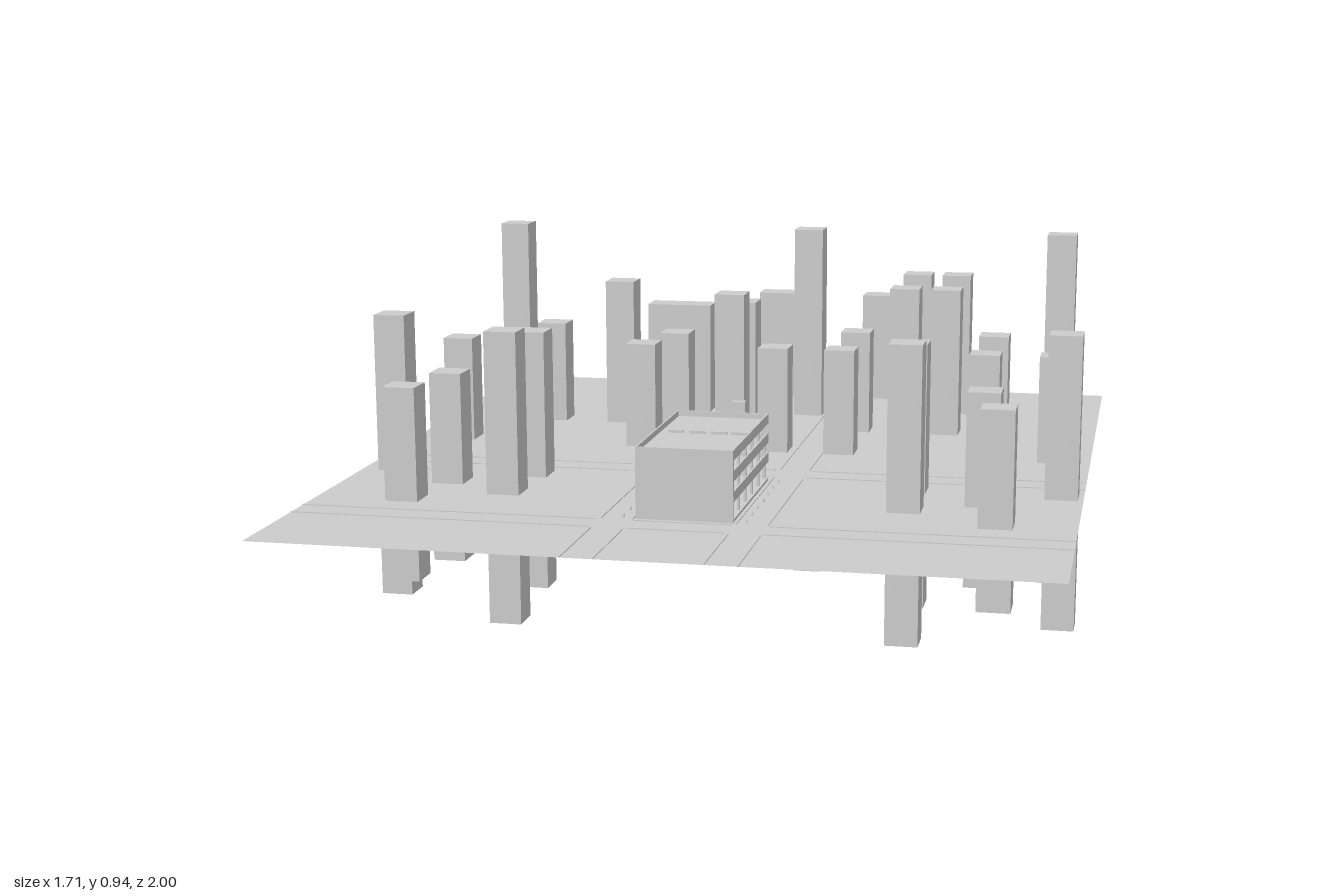
import * as THREE from 'three';

const GROUND = 0.435;

export function createModel() {
  const model = new THREE.Group();
  const grey = new THREE.MeshStandardMaterial({ color: 0xcccccc, flatShading: true });
  const sheet = new THREE.MeshStandardMaterial({ color: 0xcccccc, side: THREE.DoubleSide });

  // Box given by its limits on each axis
  function block(name, x0, x1, y0, y1, z0, z1, parent = model) {
    const mesh = new THREE.Mesh(new THREE.BoxGeometry(x1 - x0, y1 - y0, z1 - z0), grey);
    mesh.position.set((x0 + x1) / 2, (y0 + y1) / 2, (z0 + z1) / 2);
    mesh.name = name;
    parent.add(mesh);
    return mesh;
  }

  // Flat city ground
  const ground = new THREE.Mesh(new THREE.PlaneGeometry(1.71, 2), sheet);
  ground.rotation.x = -Math.PI / 2;
  ground.position.y = GROUND;
  ground.name = 'ground';
  model.add(ground);

  // Towers, which pass through the ground: bottom, top, width, [x, z] places
  const towerTypes = [
    { name: 'tallTower', y: [0, 0.935], w: 0.075, at: [[-0.725, -0.6], [0.085, -0.6], [0.75, -0.6]] },
    { name: 'highTower', y: [0.13, 0.81], w: 0.075, at: [
      [0.365, -0.695], [0.47, -0.695], [-0.385, -0.41], [0.365, -0.41], [0.47, -0.41],
      [-0.055, -0.225], [-0.775, 0.265], [0.805, 0.265], [-0.445, 0.455], [0.47, 0.455]] },
    { name: 'middleTower', y: [0.165, 0.78], w: 0.075, at: [[-0.04, -0.305], [-0.435, 0.265], [0.46, 0.265]] },
    { name: 'lowTower', y: [0.25, 0.695], w: 0.075, at: [
      [-0.57, -0.405], [0.24, -0.405], [0.595, -0.405], [-0.215, -0.305],
      [-0.735, -0.12], [-0.57, -0.12], [-0.26, -0.12], [0.075, -0.12], [0.24, -0.12],
      [0.595, -0.12], [0.765, -0.12], [-0.605, 0.37], [0.635, 0.37], [-0.65, 0.56], [0.68, 0.56]] },
    { name: 'wideTower', y: [0.13, 0.725], w: 0.172, at: [[-0.012, -0.875], [0.28, -0.875], [-0.268, -0.6]] },
  ];
  const towers = new THREE.Group();
  towers.name = 'towers';
  model.add(towers);
  for (const { name, y, w, at } of towerTypes) {
    for (const [x, z] of at) {
      block(name, x - w / 2, x + w / 2, y[0], y[1], z - 0.0375, z + 0.0375, towers);
    }
  }

  // Kerbs beside the cross street and the two avenues
  const streets = new THREE.Group();
  streets.name = 'streets';
  model.add(streets);
  const kerb = (x0, x1, z0, z1) => block('kerb', x0, x1, GROUND, GROUND + 0.002, z0, z1, streets);
  for (const z of [0.12, 0.19, 0.67, 0.74]) {
    for (const [x0, x1] of [[-0.855, -0.18], [-0.095, 0.12], [0.205, 0.855]]) {
      kerb(x0, x1, z - 0.0015, z + 0.0015);
    }
  }
  for (const x of [-0.17, -0.1, 0.13, 0.2]) {
    for (const [z0, z1] of [[-1, 0.11], [0.2, 0.66], [0.75, 1]]) {
      kerb(x - 0.001, x + 0.001, z0, z1);
    }
  }

  // Open-sided parking building with a closed front wall
  const garage = new THREE.Group();
  garage.name = 'parkingBuilding';
  model.add(garage);
  const [X0, X1, Z0, Z1] = [-0.095, 0.122, 0.232, 0.652];
  block('frontWall', X0, X1, GROUND, 0.595, Z1 - 0.006, Z1, garage);
  const floors = [0.436, 0.484, 0.53, 0.576];
  floors.forEach((y, level) => {
    block('floorSlab', X0, X1, y, y + 0.006, Z0, Z1 - 0.006, garage);
    if (level === 0) return;
    // Parapets round the slab edge
    for (const x of [X0, X1 - 0.004]) {
      block('sideParapet', x, x + 0.004, y - 0.004, y + 0.019, Z0, Z1 - 0.006, garage);
    }
    block('backParapet', X0 + 0.004, X1 - 0.004, y - 0.004, y + 0.019, Z0, Z0 + 0.004, garage);
    // Low barrier pieces across the middle
    for (const x of [-0.055, -0.005, 0.045, 0.09]) {
      block('middleBarrier', x - 0.018, x + 0.018, y + 0.006, y + 0.012, 0.423, 0.428, garage);
    }
  });

  // Columns along the sides and the middle
  for (const x of [X0 + 0.008, 0.0135, X1 - 0.008]) {
    for (let i = 0; i < 6; i++) {
      const z = Z0 + 0.01 + i * 0.078;
      block('column', x - 0.003, x + 0.003, GROUND, 0.578, z - 0.003, z + 0.003, garage);
    }
  }

  // Stair tower at the back
  block('stairTower', 0.036, 0.067, GROUND, 0.62, 0.213, 0.235, garage);

  // Small street posts beside the building
  for (const x of [-0.125, 0.15]) {
    for (let i = 0; i < 7; i++) {
      const z = 0.25 + i * 0.065;
      block('streetPost', x - 0.002, x + 0.002, GROUND, GROUND + 0.007, z - 0.002, z + 0.002, streets);
    }
  }
  return model;
}
